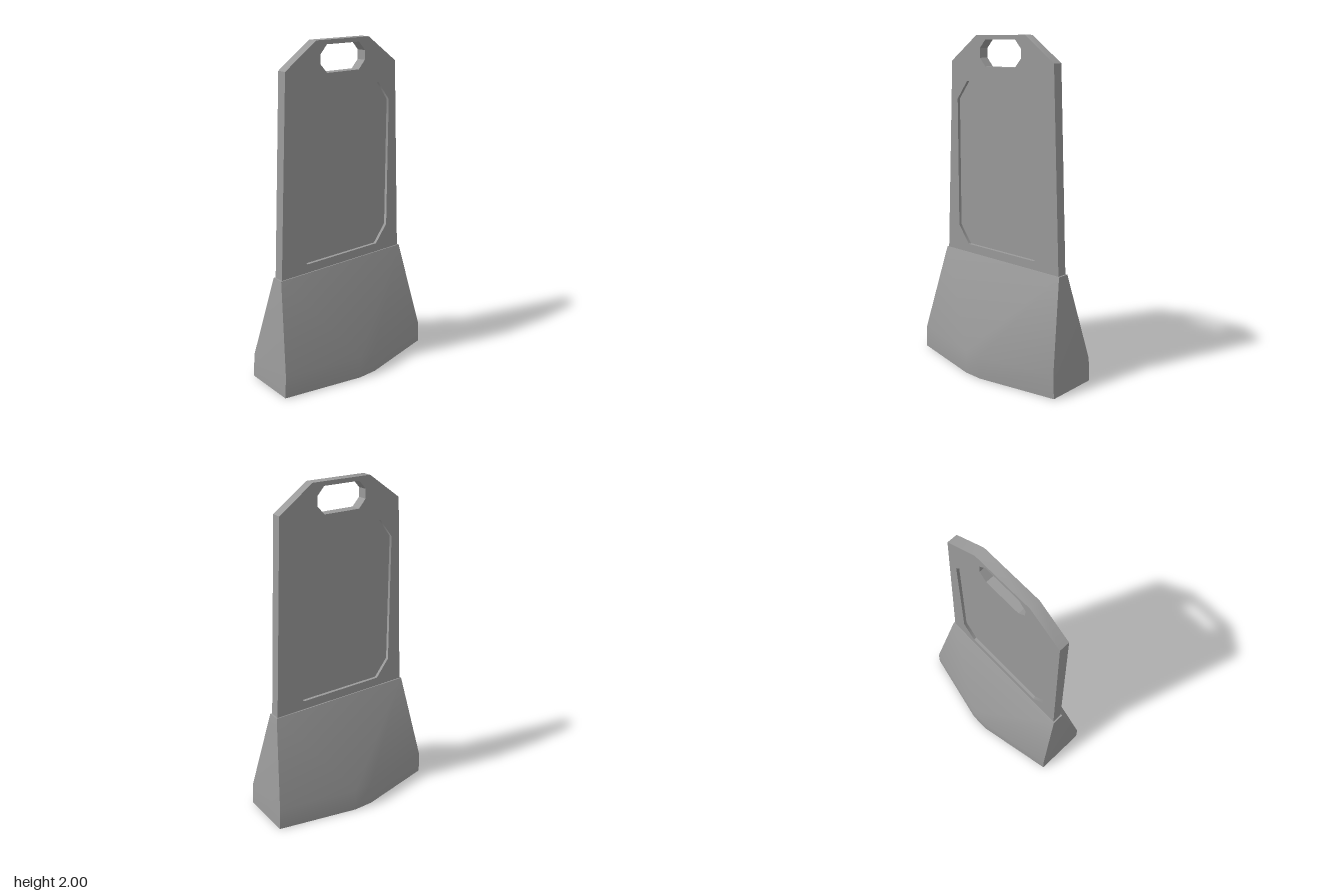
import * as THREE from 'three';
import { toCreasedNormals } from 'three/addons/utils/BufferGeometryUtils.js';

const grey = new THREE.MeshStandardMaterial({ color: 0x9b9b9b });

function addPart(group, name, geometry) {
  const mesh = new THREE.Mesh(geometry, grey);
  mesh.name = name;
  group.add(mesh);
}

// Corner points of a rectangle with cut corners, centred on x = 0
function cutRect(halfWidth, bottom, top, cutX, cutY) {
  const w = halfWidth;
  return [
    [w, bottom + cutY], [w, top - cutY], [w - cutX, top], [cutX - w, top],
    [-w, top - cutY], [-w, bottom + cutY], [cutX - w, bottom], [w - cutX, bottom],
  ].map(([x, y]) => new THREE.Vector2(x, y));
}

// Flat plate of the given thickness, centred on z = 0; shallow rim corners are smoothed
function plate(points, thickness, holes = []) {
  const shape = new THREE.Shape(points);
  holes.forEach(h => shape.holes.push(new THREE.Path(h)));
  const g = new THREE.ExtrudeGeometry(shape, { depth: thickness, bevelEnabled: false });
  return toCreasedNormals(g.translate(0, 0, -thickness / 2), 0.68);
}

// Eight-point cross-section, running from +x towards +z
function section(y, endX, endZ, midX, midZ) {
  const half = [[endX, -endZ], [endX, endZ], [midX, midZ], [-midX, midZ]];
  return [...half, ...half.map(([x, z]) => [-x, -z])]
    .map(([x, z]) => new THREE.Vector3(x, y, z));
}

// Closed loft through the sections, skipping collapsed triangles
function loft(rows) {
  const pos = [];
  const tri = (a, b, c) => {
    const area = b.clone().sub(a).cross(c.clone().sub(a)).length();
    if (area > 1e-7) pos.push(...a, ...b, ...c);
  };
  const n = rows[0].length, last = rows[rows.length - 1];
  for (let r = 0; r < rows.length - 1; r++) {
    for (let i = 0; i < n; i++) {
      const j = (i + 1) % n, lo = rows[r], hi = rows[r + 1];
      tri(lo[i], hi[i], lo[j]);
      tri(hi[i], hi[j], lo[j]);
    }
  }
  for (let i = 1; i < n - 1; i++) {
    tri(rows[0][0], rows[0][i], rows[0][i + 1]);
    tri(last[0], last[i + 1], last[i]);
  }
  const g = new THREE.BufferGeometry();
  g.setAttribute('position', new THREE.Float32BufferAttribute(pos, 3));
  return toCreasedNormals(g, 0.6);
}

export function createModel() {
  const model = new THREE.Group();
  model.name = 'standingPanel';

  // Flared foot, narrowing to a thin slot around the panel
  addPart(model, 'base', loft([
    section(0, 0.545, 0.163, 0.06, 0.267),
    section(0.14, 0.538, 0.163, 0.06, 0.267),
    section(0.67, 0.465, 0.037, 0.465, 0.037),
  ]));

  // Upright panel with a carrying slot and a recessed window
  const outline = [
    [0.457, 0.64], [0.4, 1.85], [0.19, 2], [-0.19, 2], [-0.4, 1.85], [-0.457, 0.64],
  ].map(([x, y]) => new THREE.Vector2(x, y));
  const handle = cutRect(0.161, 1.82, 1.975, 0.045, 0.05);
  const recess = cutRect(0.356, 0.723, 1.733, 0.085, 0.11);
  addPart(model, 'panelFrame', plate(outline, 0.062, [handle, recess]));

  // Thin sheet forming the floor of the recess on both sides
  addPart(model, 'recessedPanel', plate(recess, 0.024));

  return model;
}
